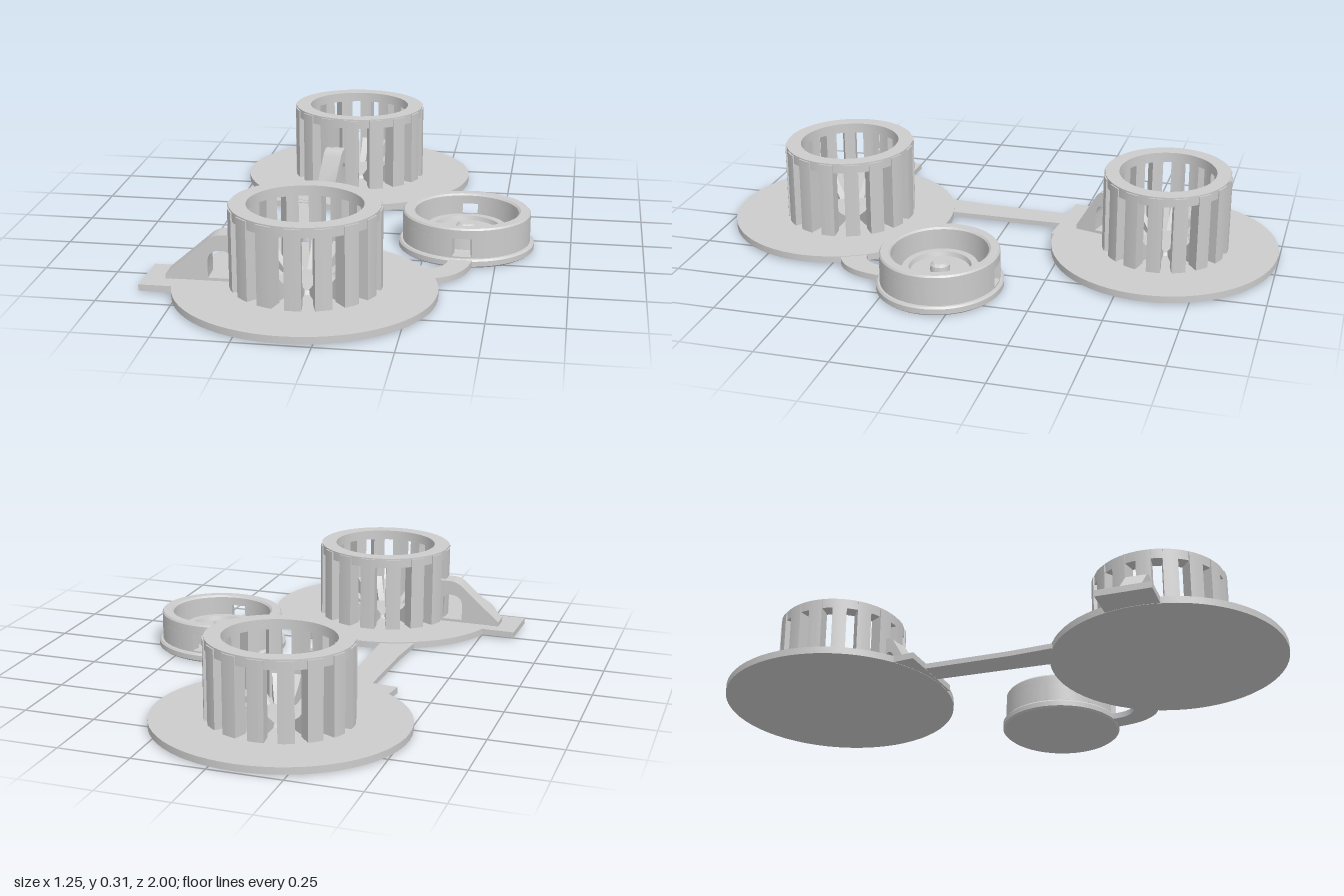
import * as THREE from 'three';
import { toCreasedNormals } from 'three/addons/utils/BufferGeometryUtils.js';

const material = new THREE.MeshStandardMaterial({ color: 0xcccccc });
const FLOOR = 0.03;
const SQUASH = 0.91; // everything round is slightly narrower in z

function add(parent, name, geometry) {
  const mesh = new THREE.Mesh(toCreasedNormals(geometry, 0.6), material);
  mesh.name = name;
  parent.add(mesh);
  return mesh;
}

function group(parent, name, x, z) {
  const g = new THREE.Group();
  g.name = name;
  g.position.set(x, 0, z);
  parent.add(g);
  return g;
}

// Flat shape drawn in (x, -z), raised from y0 to y1
function slab(shape, y0, y1) {
  return new THREE.ExtrudeGeometry(shape, { depth: y1 - y0, bevelEnabled: false, curveSegments: 32 })
    .rotateX(-Math.PI / 2).translate(0, y0, 0);
}

// Flat polygon from [x, z] corners
function polygon(corners) {
  return new THREE.Shape(corners.map(([x, z]) => new THREE.Vector2(x, -z)));
}

// Piece of a ring between two angles
function sector(r0, r1, a0, a1) {
  const s = new THREE.Shape();
  s.absarc(0, 0, r1, a0, a1, false);
  s.absarc(0, 0, r0, a1, a0, true);
  s.closePath();
  return s;
}

function ring(r0, r1) {
  const s = new THREE.Shape().absarc(0, 0, r1, 0, Math.PI * 2, false);
  s.holes.push(new THREE.Path().absarc(0, 0, r0, 0, Math.PI * 2, true));
  return s;
}

function lathe(points) {
  return new THREE.LatheGeometry(points.map(([r, y]) => new THREE.Vector2(r, y)), 64);
}

// Slotted basket: upright slats, low inner fins and a top ring
function addBasket(parent, name, x, z, scaleZ) {
  const basket = group(parent, name, x, z);
  basket.scale.z = scaleZ;
  add(basket, 'topRing', slab(ring(0.19, 0.245), 0.27, 0.305));
  const fin = new THREE.Shape([[0.2, 0], [0.2, 0.1], [0.16, 0.06], [0.09, 0.015], [0.09, 0]]
    .map(([u, v]) => new THREE.Vector2(u, v + FLOOR - 0.005)));
  const count = 16;
  for (let i = 0; i < count; i++) {
    const a = (i / count) * Math.PI * 2;
    add(basket, 'slat', slab(sector(0.192, 0.25, a - 0.11, a + 0.11), FLOOR - 0.005, 0.3));
    const finGeometry = new THREE.ExtrudeGeometry(fin, { depth: 0.024, bevelEnabled: false });
    add(basket, 'innerFin', finGeometry.translate(0, 0, -0.012).rotateY(a));
  }
  add(basket, 'centreBoss', lathe([[0.11, FLOOR - 0.005], [0.1, 0.042], [0, 0.045]]));
}

// Sloping brace with an arched opening; its slope runs outward along local +x
function addBrace(parent, name, x, z, angle, start, stretch) {
  const s = new THREE.Shape();
  s.moveTo(-0.012, FLOOR - 0.005);
  s.lineTo(0.222, FLOOR - 0.005);
  s.lineTo(0.222, 0.045);
  s.lineTo(0.085, 0.165);
  s.quadraticCurveTo(0.06, 0.19, 0.03, 0.19);
  s.lineTo(-0.012, 0.19);
  s.closePath();
  const hole = new THREE.Path();
  hole.moveTo(0.005, 0.04);
  hole.lineTo(0.005, 0.115);
  hole.quadraticCurveTo(0.008, 0.135, 0.035, 0.137);
  hole.quadraticCurveTo(0.075, 0.135, 0.08, 0.1);
  hole.lineTo(0.08, 0.04);
  hole.closePath();
  s.holes.push(hole);
  const geometry = new THREE.ExtrudeGeometry(s, { depth: 0.072, bevelEnabled: false })
    .translate(0, 0, -0.036).scale(stretch, 1, 1).translate(start, 0, 0);
  const brace = add(parent, name, geometry);
  brace.position.set(x, 0, z);
  brace.rotation.y = angle;
}

export function createModel() {
  const model = new THREE.Group();
  model.name = 'hingedBaskets';

  // Two oval base plates
  for (const [name, z] of [['frontPlate', 0.6], ['backPlate', -0.6]]) {
    const oval = new THREE.Shape().absellipse(0, 0, 0.432, 0.4, 0, Math.PI * 2, false);
    add(model, name, slab(oval, 0.006, FLOOR)).position.set(-0.093, 0, z);
  }

  // Tabs and the strap joining the plates
  add(model, 'frontTab', slab(polygon([[-0.625, 0.48], [-0.45, 0.485], [-0.45, 0.665], [-0.63, 0.665]]), 0.007, 0.029));
  add(model, 'backTab', slab(polygon([[-0.375, -0.215], [-0.08, -0.19], [-0.08, -0.3], [-0.2, -0.4], [-0.36, -0.32]]), 0.007, 0.029));
  add(model, 'strap', slab(polygon([[-0.305, 0.3], [-0.175, 0.3], [-0.185, 0.2], [-0.185, -0.23], [-0.28, -0.23], [-0.29, 0.1], [-0.303, 0.24]]), 0.008, 0.026));

  // Baskets and their braces
  addBasket(model, 'frontBasket', -0.093, 0.577, 0.93);
  addBasket(model, 'backBasket', -0.093, -0.602, 0.89);
  addBrace(model, 'frontBrace', -0.093, 0.566, Math.PI, 0.24, 1);
  addBrace(model, 'backBrace', -0.093, -0.602, -1.83, 0.218, 0.53);

  // Curved arm to the cap
  const arm = new THREE.Shape();
  arm.moveTo(0.345, -0.25);
  arm.quadraticCurveTo(0.355, -0.38, 0.27, -0.385);
  arm.lineTo(0.22, -0.48);
  arm.lineTo(0.295, -0.475);
  arm.quadraticCurveTo(0.425, -0.44, 0.425, -0.25);
  arm.closePath();
  add(model, 'capArm', slab(arm, 0.007, 0.028));

  // Round cap: flange, stepped floor, knob and a wall with two windows
  const cap = group(model, 'cap', 0.387, 0.083);
  cap.scale.z = SQUASH;
  add(cap, 'flangeAndFloor', lathe([
    [0, 0], [0.228, 0], [0.236, 0.006], [0.236, 0.024], [0.23, 0.03], [0.145, 0.035],
    [0.14, 0.075], [0.115, 0.075], [0.11, 0.06], [0.037, 0.06], [0.035, 0.08], [0.025, 0.088], [0, 0.088],
  ]));
  add(cap, 'lowerWall', slab(ring(0.18, 0.222), 0.028, 0.036));
  const gap = 0.15;
  for (const a of [-Math.PI / 2, Math.PI / 2]) {
    add(cap, 'wall', slab(sector(0.18, 0.222, a + gap, a + Math.PI - gap), 0.036, 0.1));
  }
  add(cap, 'upperWall', lathe([[0.18, 0.1], [0.222, 0.1], [0.222, 0.13], [0.217, 0.136], [0.187, 0.136], [0.18, 0.13], [0.18, 0.1]]));

  return model;
}
